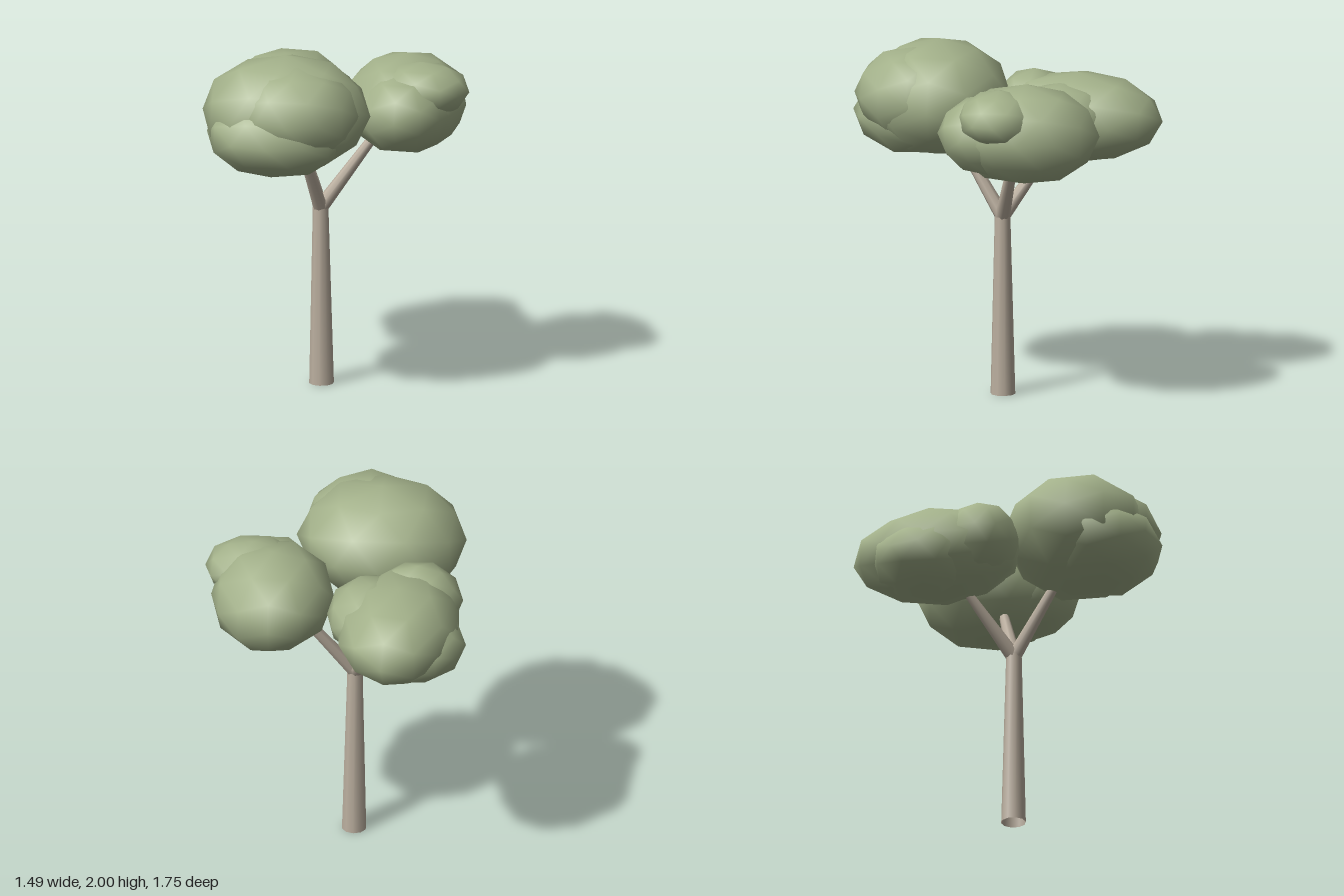
import * as THREE from 'three';
import { mergeVertices } from 'three/addons/utils/BufferGeometryUtils.js';

const leafGreen = new THREE.MeshStandardMaterial({ color: 0xa3b18a });
const barkBeige = new THREE.MeshStandardMaterial({ color: 0xbbaf9f, side: THREE.DoubleSide });

const QUARTER = Math.PI / 2;

// Slightly uneven low-poly ellipsoid; radii are measured before the yaw turn
function lobe(center, radii, yaw, seed) {
  let geo = new THREE.IcosahedronGeometry(1, 1);
  geo.deleteAttribute('uv');
  geo.deleteAttribute('normal');
  geo = mergeVertices(geo, 1e-3);
  const pos = geo.attributes.position;
  const v = new THREE.Vector3();
  for (let i = 0; i < pos.count; i++) {
    v.fromBufferAttribute(pos, i);
    v.multiplyScalar(1 + 0.015 * Math.sin(i * 2.4 + seed * 5));
    pos.setXYZ(i, v.x, v.y, v.z);
  }
  geo.scale(...radii).rotateY(yaw).translate(...center);
  geo.computeVertexNormals();
  return new THREE.Mesh(geo, leafGreen);
}

// Tapered open tube between two points
function limb(name, from, to, r0, r1, sides) {
  const a = new THREE.Vector3(...from);
  const b = new THREE.Vector3(...to);
  const dir = b.clone().sub(a);
  const mesh = new THREE.Mesh(
    new THREE.CylinderGeometry(r1, r0, dir.length(), sides, 1, true), barkBeige);
  mesh.name = name;
  mesh.position.copy(a).add(b).multiplyScalar(0.5);
  mesh.quaternion.setFromUnitVectors(new THREE.Vector3(0, 1, 0), dir.normalize());
  return mesh;
}

export function createModel() {
  const tree = new THREE.Group();
  tree.name = 'tree';

  // Trunk and three forking branches
  const fork = [-0.1, 1.02, 0.008];
  tree.add(
    limb('trunk', [-0.095, 0, 0.005], [-0.1, 1.035, 0.008], 0.07, 0.044, 10),
    limb('frontBranch', fork, [-0.165, 1.45, 0.27], 0.042, 0.026, 8),
    limb('leftBranch', fork, [0.2, 1.44, -0.1], 0.042, 0.026, 8),
    limb('backBranch', fork, [-0.26, 1.36, -0.23], 0.042, 0.024, 8),
  );

  // Foliage clumps, each made of overlapping lobes: centre, radii, yaw
  const clumps = {
    frontFoliage: [
      [[-0.23, 1.67, 0.39], [0.415, 0.33, 0.48], QUARTER],
      [[-0.26, 1.575, 0.5], [0.37, 0.24, 0.4], QUARTER],
      [[-0.15, 1.7, 0.51], [0.34, 0.27, 0.36], QUARTER],
    ],
    leftFoliage: [
      [[0.35, 1.605, -0.18], [0.35, 0.285, 0.42], 0],
      [[0.465, 1.715, -0.05], [0.275, 0.16, 0.23], 0],
      [[0.37, 1.6, 0.0], [0.28, 0.23, 0.31], 0],
    ],
    backFoliage: [
      [[-0.37, 1.545, -0.38], [0.34, 0.255, 0.495], -0.14],
      [[-0.44, 1.48, -0.44], [0.31, 0.2, 0.31], 0],
      [[-0.21, 1.57, -0.3], [0.25, 0.2, 0.31], 0],
      [[-0.46, 1.58, -0.12], [0.26, 0.21, 0.22], 0],
    ],
  };
  let seed = 1;
  for (const [name, lobes] of Object.entries(clumps)) {
    const clump = new THREE.Group();
    clump.name = name;
    lobes.forEach(([center, radii, yaw], i) => {
      const mesh = lobe(center, radii, yaw, seed++);
      mesh.name = `${name}Lobe${i + 1}`;
      clump.add(mesh);
    });
    tree.add(clump);
  }
  return tree;
}
